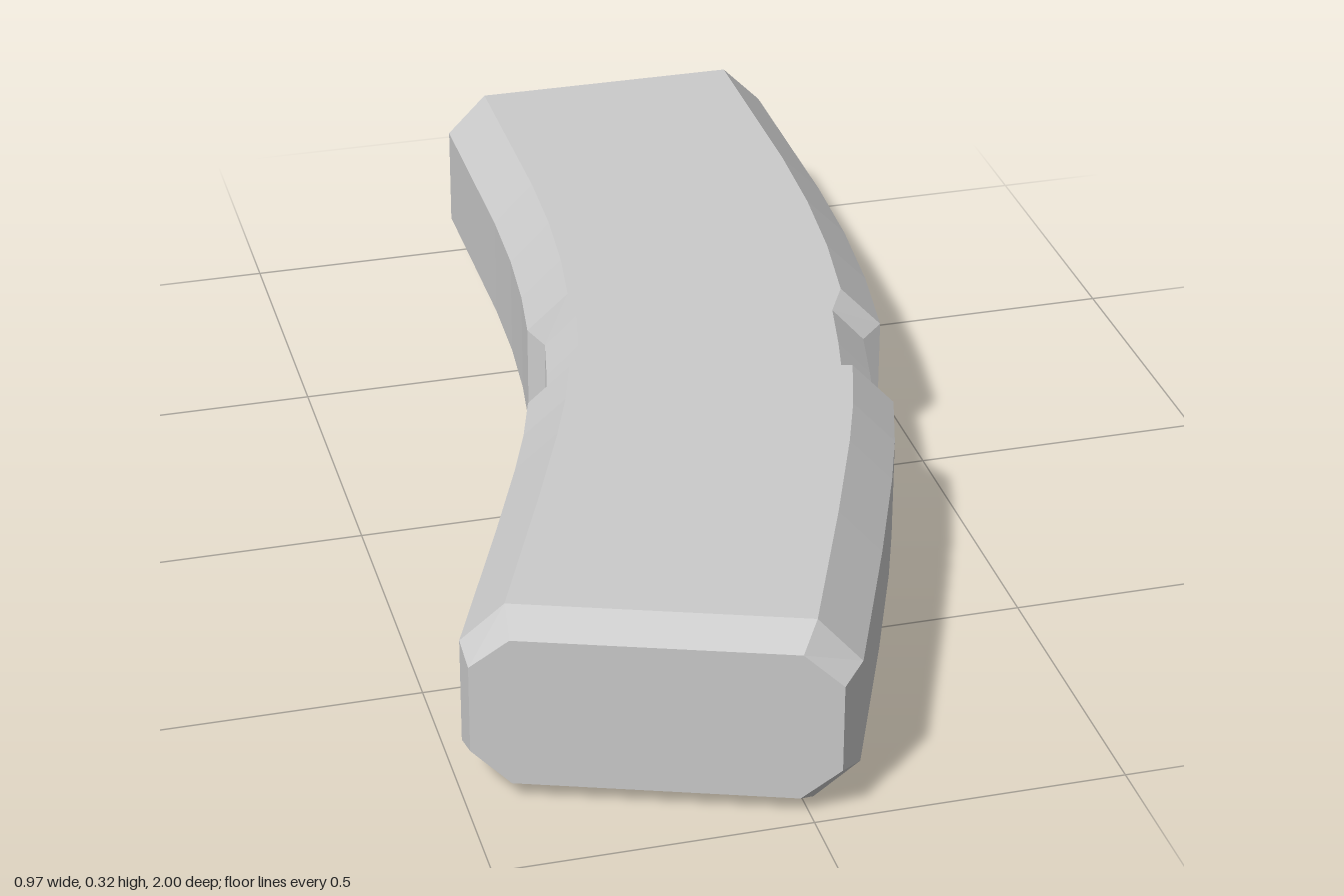
import * as THREE from 'three';

// Chamfered cross-section: half width, bottom, top, chamfer width, chamfer start heights
function section(w, y0, y1, c, s0, s1) {
  return [[-w + c, y0], [w - c, y0], [w, s0], [w, s1], [w - c, y1], [-w + c, y1], [-w, s1], [-w, s0]];
}
const FULL = section(0.305, 0, 0.32, 0.07, 0.07, 0.25);
const WAIST = section(0.275, 0, 0.288, 0.04, 0.065, 0.23);
WAIST[4][0] = 0.22;
WAIST[5][0] = -0.22;
const SOCKET = section(0.27, 0.035, 0.285, 0.055, 0.09, 0.23);
const NOSE = section(0.283, 0.03, 0.287, 0.063, 0.085, 0.235);

// Place a cross-section on the curved centre line, turned about y
function ring(x, z, degrees, profile) {
  const t = THREE.MathUtils.degToRad(degrees);
  return profile.map(([u, y]) => new THREE.Vector3(x + u * Math.cos(t), y, z + u * Math.sin(t)));
}

const material = new THREE.MeshStandardMaterial({ color: 0xcccccc, flatShading: true });

// Skin a run of rings, with optional flat end caps
function loft(name, rings, capStart = false, capEnd = false) {
  const pts = [];
  const n = rings[0].length;
  for (let r = 0; r < rings.length - 1; r++) {
    for (let i = 0; i < n; i++) {
      const j = (i + 1) % n;
      const a = rings[r][i], b = rings[r][j], c = rings[r + 1][j], d = rings[r + 1][i];
      pts.push(a, b, c, a, c, d);
    }
  }
  const last = rings[rings.length - 1];
  for (let i = 1; i < n - 1; i++) {
    if (capStart) pts.push(rings[0][0], rings[0][i + 1], rings[0][i]);
    if (capEnd) pts.push(last[0], last[i], last[i + 1]);
  }
  const geometry = new THREE.BufferGeometry().setFromPoints(pts);
  geometry.computeVertexNormals();
  const mesh = new THREE.Mesh(geometry, material);
  mesh.name = name;
  return mesh;
}

export function createModel() {
  const group = new THREE.Group();
  group.name = 'curvedCasing';

  // Recess and rim at the open rear end
  group.add(loft('rearSocket', [
    ring(0.18, -0.92, 0, SOCKET),
    ring(0.18, -1, 0, SOCKET),
    ring(0.18, -1, 0, FULL),
  ], true));

  // Rear half, straight and then bending
  const rearEdge = ring(0.135, -0.125, 12.4, FULL);
  group.add(loft('rearBody', [
    ring(0.18, -1, 0, FULL),
    ring(0.179, -0.6, 1.5, FULL),
    ring(0.172, -0.43, 4, FULL),
    ring(0.157, -0.27, 8, FULL),
    rearEdge,
  ]));

  // Shallow groove between the halves, flush underneath
  const frontEdge = ring(0.075, 0.135, 14.3, FULL);
  group.add(loft('waistGroove', [
    rearEdge,
    ring(0.131, -0.108, 12.4, WAIST),
    ring(0.107, 0.005, 13.4, WAIST),
    ring(0.081, 0.112, 14.3, WAIST),
    frontEdge,
  ]));

  // Front half
  const noseEdge = ring(-0.2025, 0.8525, 20, FULL);
  group.add(loft('frontBody', [
    frontEdge,
    ring(0.04, 0.25, 16.5, FULL),
    ring(0, 0.36, 18, FULL),
    ring(-0.08, 0.56, 20, FULL),
    noseEdge,
  ]));

  // Bevelled closed front end
  group.add(loft('frontCap', [noseEdge, ring(-0.222, 0.9, 20, NOSE)], false, true));
  return group;
}
